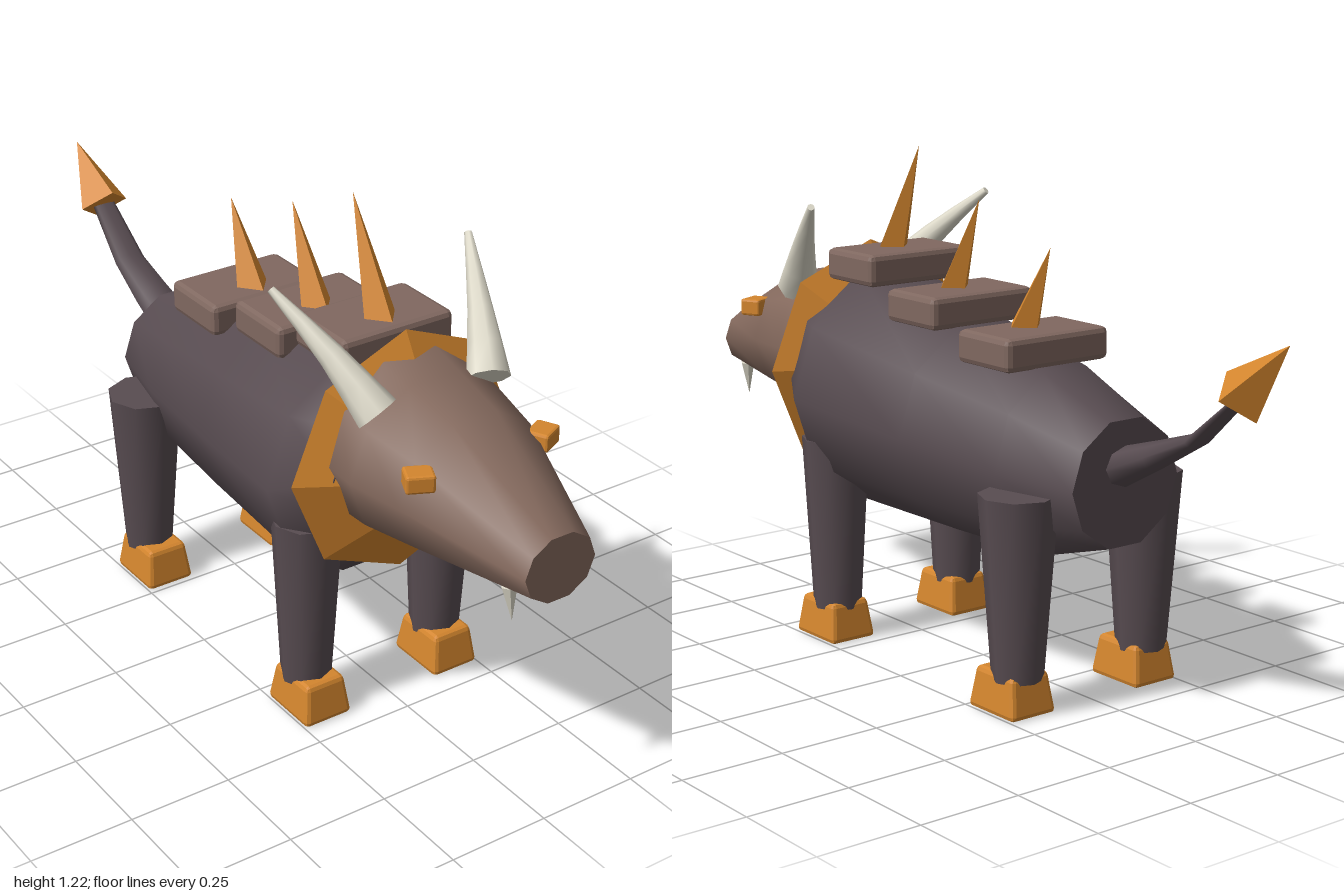
import * as THREE from 'three';
import { RoundedBoxGeometry } from 'three/addons/geometries/RoundedBoxGeometry.js';

const V = (x, y, z) => new THREE.Vector3(x, y, z);

const material = (name, color) => {
  const m = new THREE.MeshStandardMaterial({ color });
  m.name = name;
  return m;
};

// Give every face its own flat normal
function facet(geometry) {
  const g = geometry.index ? geometry.toNonIndexed() : geometry;
  g.computeVertexNormals();
  return g;
}

// Smooth skin over rings of points, closed by flat caps
function skin(rings) {
  const n = rings[0].length, pos = [], idx = [];
  const push = (p) => pos.push(p.x, p.y, p.z);
  rings.forEach((r) => r.forEach(push));
  for (let i = 0; i < rings.length - 1; i++) {
    for (let j = 0; j < n; j++) {
      const k = (j + 1) % n;
      const a = i * n + j, b = i * n + k, c = b + n, d = a + n;
      idx.push(a, b, c, a, c, d);
    }
  }
  [rings[0].slice().reverse(), rings[rings.length - 1]].forEach((cap) => {
    const start = pos.length / 3;
    cap.forEach(push);
    for (let j = 1; j < n - 1; j++) idx.push(start, start + j, start + j + 1);
  });
  const g = new THREE.BufferGeometry();
  g.setAttribute('position', new THREE.Float32BufferAttribute(pos, 3));
  g.setIndex(idx);
  g.computeVertexNormals();
  return g;
}

// Upright elliptical sections [z, centreY, radiusX, radiusY], from back to front
const loft = (sections, sides) => skin(sections.map(([z, cy, rx, ry]) =>
  Array.from({ length: sides }, (_, j) => {
    const a = (j / sides) * Math.PI * 2;
    return V(Math.cos(a) * rx, cy + Math.sin(a) * ry, z);
  })));

// Round tube along a curve, narrowing from r0 to r1
function taperedTube(points, r0, r1, sides, steps) {
  const curve = new THREE.CatmullRomCurve3(points);
  return skin(Array.from({ length: steps + 1 }, (_, i) => {
    const t = i / steps, p = curve.getPoint(t), dir = curve.getTangent(t);
    const u = V(0, 1, 0).cross(dir).normalize(), v = dir.clone().cross(u);
    const r = r0 + (r1 - r0) * t;
    return Array.from({ length: sides }, (_, j) => {
      const a = (j / sides) * Math.PI * 2;
      return p.clone().addScaledVector(u, Math.cos(a) * r).addScaledVector(v, Math.sin(a) * r);
    });
  }));
}

// Faceted cone from a base centre to a tip
function spike(base, tip, radius, sides) {
  const dir = tip.clone().sub(base), h = dir.length();
  const g = facet(new THREE.ConeGeometry(radius, h, sides));
  g.translate(0, h / 2, 0);
  g.applyQuaternion(new THREE.Quaternion().setFromUnitVectors(V(0, 1, 0), dir.normalize()));
  return g.translate(base.x, base.y, base.z);
}

// Bevelled hoof block, wider at the bottom
function hoofGeometry() {
  const g = new RoundedBoxGeometry(0.13, 0.1, 0.165, 1, 0.012);
  const p = g.attributes.position;
  for (let i = 0; i < p.count; i++) {
    const s = 1 - 0.2 * (p.getY(i) / 0.1 + 0.5);
    p.setX(i, p.getX(i) * s);
    p.setZ(i, p.getZ(i) * s);
  }
  return facet(g);
}

export function createModel() {
  const model = new THREE.Group();
  model.name = 'hornedBeast';
  const hide = material('dark hide', 0x584c51);
  const face = material('brown face', 0x84695d);
  const plate = material('back plate', 0x806860);
  const amber = material('amber', 0xd4862e);
  const ivory = material('ivory', 0xdedaca);

  const add = (name, geometry, mat, x = 0, y = 0, z = 0) => {
    const mesh = new THREE.Mesh(geometry, mat);
    mesh.name = name;
    mesh.position.set(x, y, z);
    model.add(mesh);
    return mesh;
  };

  // Barrel body
  add('body', loft([
    [-0.51, 0.535, 0.155, 0.152], [-0.3, 0.545, 0.205, 0.225],
    [0, 0.575, 0.25, 0.257], [0.36, 0.615, 0.3, 0.293], [0.5, 0.68, 0.22, 0.19],
  ], 10), hide);

  // Head tapering to a blunt snout
  add('head', loft([
    [0.47, 0.715, 0.225, 0.212], [0.56, 0.705, 0.22, 0.197],
    [0.7, 0.7, 0.192, 0.172], [1, 0.648, 0.093, 0.081],
  ], 10), face);

  // Angular collar, mostly sunk into the neck
  add('collar', facet(new THREE.TorusGeometry(0.207, 0.093, 3, 8)), amber, 0, 0.67, 0.455);

  // Back plates with swept spikes
  [
    { y: 0.927, z: 0.337, base: V(0, 0.9, 0.385), tip: V(0, 1.22, 0.25) },
    { y: 0.857, z: 0.09, base: V(0, 0.83, 0.14), tip: V(0, 1.115, 0.015) },
    { y: 0.8, z: -0.185, base: V(0, 0.79, -0.135), tip: V(0, 1.03, -0.245) },
  ].forEach(({ y, z, base, tip }) => {
    add('backPlate', facet(new RoundedBoxGeometry(0.3, 0.078, 0.188, 1, 0.014)), plate, 0, y, z);
    add('backSpike', spike(base, tip, 0.052, 4), amber);
  });

  // Tail, flattening towards its barbed end
  add('tail', loft([
    [-0.88, 0.8, 0.03, 0.006], [-0.74, 0.676, 0.042, 0.016],
    [-0.62, 0.62, 0.053, 0.034], [-0.49, 0.565, 0.06, 0.05],
  ], 8), hide);
  add('tailBarb', spike(V(0, 0.79, -0.865), V(0, 0.92, -1), 0.066, 4), amber);

  for (const s of [1, -1]) {
    const side = s > 0 ? 'left' : 'right';

    // Legs and hooves
    for (const [end, z, top, hoofZ] of [['Front', 0.35, 0.084, 0.363], ['Back', -0.362, 0.092, -0.34]]) {
      const leg = new THREE.CylinderGeometry(top, 0.06, 0.43, 8);
      add(side + end + 'Leg', leg, hide, s * 0.187, 0.295, z);
      add(side + end + 'Hoof', hoofGeometry(), amber, s * 0.185, 0.05, hoofZ);
    }

    // Horn sweeping up, out and back
    add(side + 'Horn', taperedTube([
      V(s * 0.15, 0.855, 0.56), V(s * 0.2, 0.965, 0.46), V(s * 0.265, 1.085, 0.325),
    ], 0.05, 0.009, 8, 4), ivory);

    // Eye block
    const eye = add(side + 'Eye', facet(new RoundedBoxGeometry(0.065, 0.042, 0.055, 1, 0.006)),
      amber, s * 0.166, 0.781, 0.73);
    eye.rotation.y = s * 0.45;

    // Fang hanging from the jaw
    add(side + 'Fang', spike(V(s * 0.072, 0.592, 0.925), V(s * 0.065, 0.505, 0.932), 0.019, 6), ivory);
  }
  return model;
}
